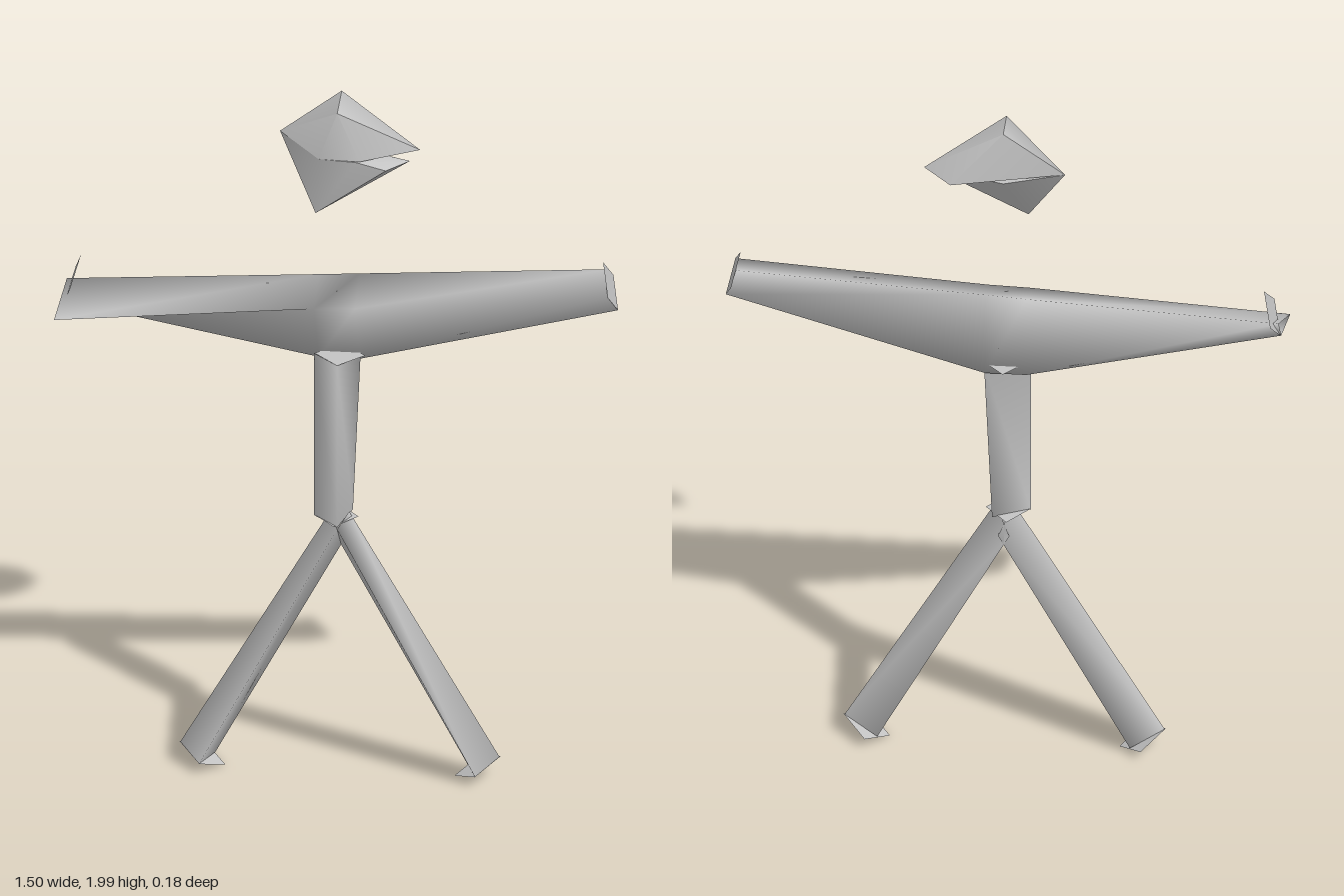
import * as THREE from 'three';
import { mergeVertices, toCreasedNormals } from 'three/addons/utils/BufferGeometryUtils.js';
import { ConvexGeometry } from 'three/addons/geometries/ConvexGeometry.js';

const grey = new THREE.MeshStandardMaterial({ color: 0xc4c4c4, side: THREE.DoubleSide });
grey.name = 'plain grey';

function part(name, geometry) {
  const mesh = new THREE.Mesh(geometry, grey);
  mesh.name = name;
  return mesh;
}

// Open tube with soft normals through triangular cross-sections
function loft(sections) {
  const index = [], n = sections[0].length;
  for (let s = 0; s < sections.length - 1; s++) {
    for (let i = 0; i < n; i++) {
      const a = s * n + i, b = s * n + (i + 1) % n;
      index.push(a, b, a + n, b, b + n, a + n);
    }
  }
  const g = new THREE.BufferGeometry();
  g.setAttribute('position', new THREE.Float32BufferAttribute(sections.flat(2), 3));
  g.setIndex(index);
  g.computeVertexNormals();
  return g;
}

// Thin diamond end plate: centre plus a half diagonal in x and y, the other along z
function diamond(x, y, dx, dy) {
  const g = new THREE.BufferGeometry();
  g.setAttribute('position', new THREE.Float32BufferAttribute([
    x - dx, y - dy, -0.02, x, y, 0.05, x + dx, y + dy, -0.02, x, y, -0.09], 3));
  g.setIndex([0, 1, 2, 0, 2, 3]);
  g.computeVertexNormals();
  return g;
}

function hull(points) {
  const g = new ConvexGeometry(points.map(p => new THREE.Vector3(...p)));
  g.deleteAttribute('normal');
  return toCreasedNormals(mergeVertices(g).toNonIndexed(), 0.9);
}

export function createModel() {
  const model = new THREE.Group();
  model.name = 'stickFigure';

  // Head: a faceted upper block over a lower wedge, with a slit between them
  const cheek = [-0.165, 1.875, -0.06], jaw = [-0.05, 1.85, 0.05];
  model.add(part('upperHead', hull([
    [0, 2, -0.065], [0, 1.985, 0.045], cheek, jaw,
    [0.06, 1.848, 0.052], [0.215, 1.855, -0.025], [0.14, 1.845, -0.09]])));
  model.add(part('lowerHead', hull([
    cheek, jaw, [-0.06, 1.68, 0.03], [0.05, 1.845, 0.05],
    [0.13, 1.822, 0.045], [0.19, 1.833, 0], [0, 1.84, -0.065]])));

  // Arms: one long body; corners run front, bottom, upper back
  model.add(part('arms', loft([
    [[-0.755, 1.355, 0.09], [-0.74, 1.36, -0.02], [-0.735, 1.415, -0.045]],
    [[-0.06, 1.415, 0.07], [-0.06, 1.215, -0.05], [-0.06, 1.46, -0.05]],
    [[0.05, 1.42, 0.068], [0.05, 1.215, -0.05], [0.05, 1.468, -0.05]],
    [[0.726, 1.48, 0.05], [0.745, 1.41, -0.02], [0.716, 1.513, -0.055]]])));
  model.add(part('leftHand', diamond(0.726, 1.48, -0.02, 0.07)));
  model.add(part('rightHand', diamond(-0.716, 1.43, 0.022, 0.07)));

  // Torso with its end plates
  model.add(part('torso', loft([
    [[-0.07, 0.76, -0.02], [0, 0.76, 0.05], [0.03, 0.76, -0.065]],
    [[-0.07, 1.24, -0.02], [0, 1.24, 0.05], [0.053, 1.24, -0.047]]])));
  model.add(part('torsoTop', diamond(0, 1.24, 0.068, 0)));
  model.add(part('torsoBottom', diamond(-0.01, 0.762, 0.06, 0)));

  // Legs and feet, mirrored
  for (const [side, s] of [['left', 1], ['right', -1]]) {
    const leg = new THREE.Group();
    leg.name = side + 'Leg';
    leg.add(part(side + 'Shin', loft([
      [[s * 0.428, 0.069, -0.02], [s * 0.37, 0.04, 0.05], [s * 0.338, 0.026, -0.055]],
      [[s * 0.025, 0.775, -0.02], [0, 0.755, 0.05], [s * -0.015, 0.69, -0.05]]])));
    leg.add(part(side + 'Foot', diamond(s * 0.369, 0.039, s * 0.062, 0.032)));
    model.add(leg);
  }
  return model;
}
